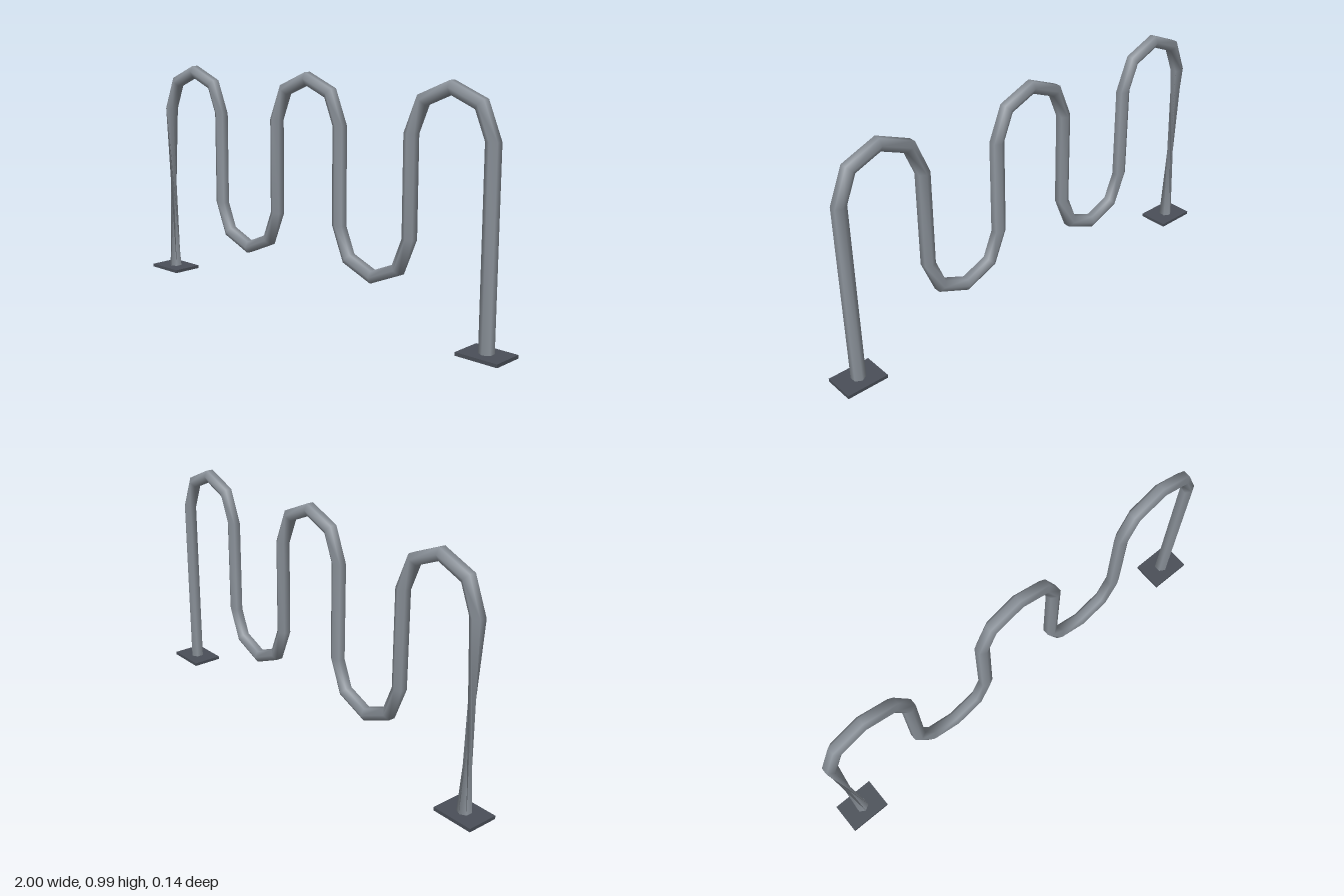
import * as THREE from 'three';

const R = 0.1818;          // bend radius, half the spacing of the uprights
const TUBE = 0.03;
const SIDES = 6;
const HIGH = 0.785, LOW = 0.378;

// Centre line: a list of points with their tangents, from the right foot to the left foot
function wavePath() {
  const path = [{ x: -5 * R, y: 0.001, tx: 0, ty: 1 }];
  for (let bend = 0; bend < 5; bend++) {
    const up = bend % 2 === 0 ? 1 : -1;
    const cx = (bend * 2 - 4) * R;
    const cy = up > 0 ? HIGH : LOW;
    for (let s = 0; s <= 4; s++) {
      const a = Math.PI * (1 - s / 4);
      path.push({
        x: cx + R * Math.cos(a), y: cy + up * R * Math.sin(a),
        tx: Math.sin(a), ty: -up * Math.cos(a),
      });
    }
  }
  path.push({ x: 5 * R, y: 0.001, tx: 0, ty: -1 });
  return path;
}

// Six-sided tube swept along the path; the first ring is turned, so that leg twists
function tubeGeometry(path) {
  const pos = [], index = [];
  path.forEach((p, i) => {
    const twist = i === 0 ? Math.PI * 2 / 3 : 0;
    for (let j = 0; j < SIDES; j++) {
      const a = Math.PI / 2 + j * Math.PI * 2 / SIDES + twist;
      const n = TUBE * Math.cos(a);
      pos.push(p.x - p.ty * n, p.y + p.tx * n, TUBE * Math.sin(a));
      if (i < path.length - 1) {
        const k = (j + 1) % SIDES;
        const A = i * SIDES + j, B = i * SIDES + k;
        index.push(A, B, A + SIDES, B, B + SIDES, A + SIDES);
      }
    }
  });
  const g = new THREE.BufferGeometry();
  g.setAttribute('position', new THREE.Float32BufferAttribute(pos, 3));
  g.setIndex(index);
  g.computeVertexNormals();
  return g;
}

export function createModel() {
  const group = new THREE.Group();
  group.name = 'waveBikeRack';

  const steel = new THREE.MeshStandardMaterial({ color: 0x8a9199 });
  steel.name = 'grey steel';
  steel.side = THREE.DoubleSide;
  const darkSteel = new THREE.MeshStandardMaterial({ color: 0x4a4f58 });
  darkSteel.name = 'dark steel';

  const tube = new THREE.Mesh(tubeGeometry(wavePath()), steel);
  tube.name = 'waveTube';
  group.add(tube);

  // Floor plates under both ends
  for (const side of [-1, 1]) {
    const plate = new THREE.Mesh(new THREE.BoxGeometry(0.182, 0.014, 0.136), darkSteel);
    plate.name = side > 0 ? 'leftFootPlate' : 'rightFootPlate';
    plate.position.set(side * 5 * R, 0.007, 0);
    group.add(plate);
  }
  return group;
}
